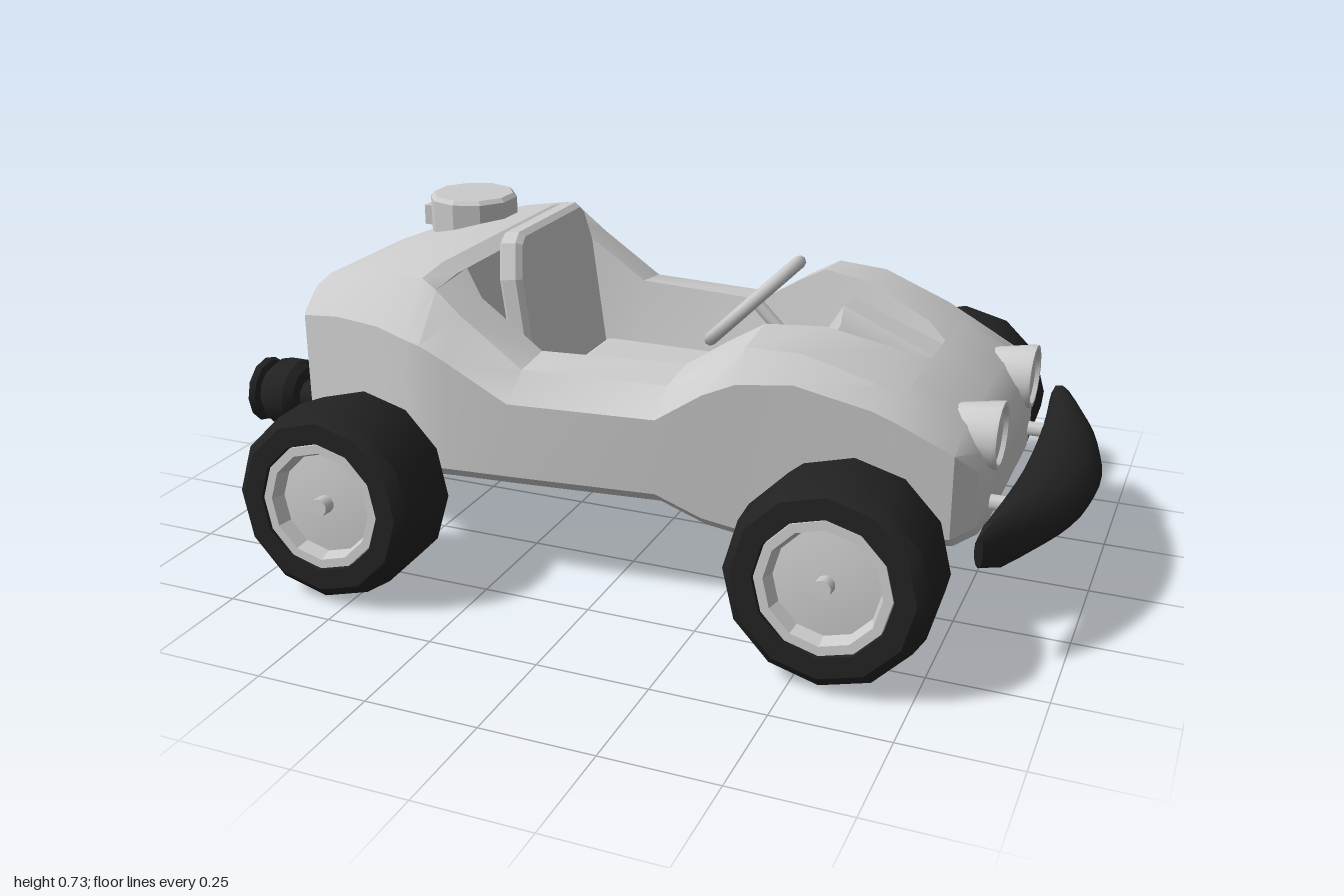
import * as THREE from 'three';
import { toCreasedNormals } from 'three/addons/utils/BufferGeometryUtils.js';
import { RoundedBoxGeometry } from 'three/addons/geometries/RoundedBoxGeometry.js';

const grey = new THREE.MeshStandardMaterial({ color: 0xcccccc, side: THREE.DoubleSide });
const black = new THREE.MeshStandardMaterial({ color: 0x222222 });

function add(parent, name, geometry, material = grey, x = 0, y = 0, z = 0) {
  const mesh = new THREE.Mesh(geometry, material);
  mesh.name = name;
  mesh.position.set(x, y, z);
  parent.add(mesh);
  return mesh;
}

// Skins a row of closed rings of [x, y, z] points and closes both ends
function loft(rings, crease = 0.5) {
  const centre = (ring) => {
    const c = [0, 1, 2].map((k) => ring.reduce((s, p) => s + p[k], 0) / ring.length);
    return ring.map(() => c);
  };
  const all = [centre(rings[0]), ...rings, centre(rings[rings.length - 1])];
  const out = [];
  const tri = (...pts) => {
    const [a, b, c] = pts.map((p) => new THREE.Vector3(...p));
    if (b.sub(a).cross(c.sub(a)).length() > 1e-7) pts.forEach((p) => out.push(...p));
  };
  for (let j = 0; j < all.length - 1; j++) {
    const r = all[j], s = all[j + 1], n = r.length;
    for (let i = 0; i < n; i++) {
      const k = (i + 1) % n;
      tri(r[i], s[i], s[k]);
      tri(r[i], s[k], r[k]);
    }
  }
  const g = new THREE.BufferGeometry();
  g.setAttribute('position', new THREE.Float32BufferAttribute(out, 3));
  return toCreasedNormals(g, crease);
}

function lathe(points, sides, crease = 0.6) {
  const pts = points.map(([r, y]) => new THREE.Vector2(r, y));
  return toCreasedNormals(new THREE.LatheGeometry(pts, sides), crease);
}

// Shell section: underside, flank, shoulder, deck, cockpit wall and floor
function bodyRing([x, yb, yc, yt, w, wt, wo]) {
  const floor = wo > 0 ? 0.285 : yt;
  const half = [
    [x, yb, 0], [x, yb, w - 0.035], [x, yb + 0.03, w], [x, yc, w], [x, yt - 0.012, wt],
    [x, yt, Math.max(wo, wt * 0.75 * (wo > 0 ? 0 : 1))], [x, yt, wo],
    [x, floor, Math.max(0, wo - 0.035)], [x, floor, 0],
  ];
  return [...half, ...half.slice().reverse().map(([a, b, c]) => [a, b, -c])];
}

function makeBody() {
  // x, bottom, crease, top, half width, shoulder, opening
  const sections = [
    [-0.875, 0.27, 0.50, 0.55, 0.22, 0.18, 0],
    [-0.83, 0.24, 0.52, 0.59, 0.285, 0.22, 0],
    [-0.7, 0.225, 0.55, 0.64, 0.345, 0.275, 0],
    [-0.55, 0.225, 0.565, 0.68, 0.41, 0.335, 0],
    [-0.45, 0.235, 0.56, 0.69, 0.455, 0.37, 0],
    [-0.41, 0.24, 0.555, 0.67, 0.465, 0.38, 0],
    [-0.41, 0.24, 0.555, 0.67, 0.465, 0.38, 0.24],
    [-0.35, 0.245, 0.53, 0.62, 0.468, 0.385, 0.285],
    [-0.2, 0.25, 0.45, 0.515, 0.465, 0.39, 0.29],
    [0.13, 0.25, 0.45, 0.515, 0.43, 0.36, 0.25],
    [0.23, 0.205, 0.515, 0.58, 0.415, 0.35, 0.235],
    [0.3, 0.19, 0.545, 0.62, 0.405, 0.345, 0.22],
    [0.42, 0.18, 0.555, 0.615, 0.39, 0.33, 0.175],
    [0.58, 0.2, 0.515, 0.56, 0.37, 0.305, 0.11],
    [0.63, 0.205, 0.495, 0.535, 0.365, 0.295, 0.06],
    [0.63, 0.205, 0.495, 0.535, 0.365, 0.295, 0],
    [0.75, 0.22, 0.435, 0.47, 0.35, 0.27, 0],
    [0.79, 0.23, 0.385, 0.42, 0.295, 0.24, 0],
    [0.805, 0.25, 0.35, 0.38, 0.24, 0.2, 0],
  ];
  return loft(sections.map(bodyRing));
}

// Wheel with its outer face towards +z
function makeWheel() {
  const wheel = new THREE.Group();
  const tyre = add(wheel, 'tyre', lathe([
    [0.001, -0.1], [0.14, -0.105], [0.19, -0.105], [0.212, -0.085], [0.22, 0],
    [0.212, 0.085], [0.19, 0.105], [0.145, 0.105], [0.14, 0.06],
  ], 12), black);
  const rim = add(wheel, 'rim', lathe([
    [0.142, 0.05], [0.142, 0.1], [0.122, 0.1], [0.112, 0.068], [0.05, 0.075], [0.001, 0.075],
  ], 12, 0.4));
  const hub = add(wheel, 'hubBolt', new THREE.CylinderGeometry(0.02, 0.02, 0.04, 10), grey, 0, 0, 0.085);
  for (const m of [tyre, rim, hub]) m.rotation.x = Math.PI / 2;
  wheel.rotation.x = -0.08;
  return wheel;
}

function makeSteering() {
  const steering = new THREE.Group();
  steering.name = 'steeringWheel';
  const ring = add(steering, 'steeringRing', new THREE.TorusGeometry(0.135, 0.015, 8, 24));
  ring.rotation.x = Math.PI / 2;
  for (let i = 0; i < 2; i++) {
    const spoke = add(steering, 'spoke', new THREE.BoxGeometry(0.26, 0.012, 0.022));
    spoke.rotation.y = (i * Math.PI) / 2;
  }
  add(steering, 'steeringHub', new THREE.CylinderGeometry(0.03, 0.035, 0.03, 12));
  add(steering, 'steeringColumn', new THREE.CylinderGeometry(0.015, 0.015, 0.28, 8), grey, 0, -0.14, 0);
  steering.position.set(0.2, 0.595, 0);
  steering.rotation.z = Math.PI / 4;
  return steering;
}

function makeSeat() {
  const seat = new THREE.Group();
  seat.name = 'seat';
  add(seat, 'cushion', new RoundedBoxGeometry(0.31, 0.11, 0.4, 2, 0.025), grey, -0.11, 0.335, 0);
  // Backrest outline with clipped top corners, leaning back
  const s = new THREE.Shape([
    [-0.2, 0], [0.2, 0], [0.2, 0.33], [0.175, 0.41], [0.15, 0.43],
    [-0.15, 0.43], [-0.175, 0.41], [-0.2, 0.33],
  ].map(([x, y]) => new THREE.Vector2(x, y)));
  const geo = new THREE.ExtrudeGeometry(s, {
    depth: 0.035, bevelSize: 0.012, bevelThickness: 0.012, bevelOffset: -0.012, bevelSegments: 1,
  });
  geo.rotateY(Math.PI / 2);
  const back = add(seat, 'backrest', geo, grey, -0.3, 0.31, 0);
  back.rotation.z = 0.13;
  return seat;
}

// Swept bumper that narrows towards its tips
function makeBumper() {
  const rings = [];
  for (let j = 0; j <= 16; j++) {
    const t = -1 + j / 8;
    const end = Math.abs(t) > 0.99 ? 0.6 : 1;
    const front = 1 - 0.155 * t * t, rear = 0.845 - 0.03 * t * t;
    const ring = [];
    for (let i = 0; i < 12; i++) {
      const a = (i / 12) * Math.PI * 2;
      const dx = (Math.cos(a) * (front - rear)) / 2;
      ring.push([(front + rear) / 2 + dx * end, 0.285 - Math.sin(a) * 0.055 * end - dx * 0.25, t * 0.455]);
    }
    rings.push(ring);
  }
  return loft(rings, 0.9);
}

export function createModel() {
  const car = new THREE.Group();
  car.name = 'buggy';
  add(car, 'body', makeBody());
  add(car, 'rearPanel', new THREE.BoxGeometry(0.02, 0.17, 0.34), grey, -0.872, 0.405, 0);
  add(car, 'bumper', makeBumper(), black);
  car.add(makeSeat(), makeSteering());

  // Ridged cowl around the steering column
  const cowl = [[0.31, 0.42, 0.09, 0.065], [0.36, 0.52, 0.085, 0.05], [0.42, 0.62, 0.08, 0.035], [0.63, 0.53, 0.07, 0.045]];
  add(car, 'columnCowl', loft(cowl.map(([x, y, w, t]) => [
    [x, 0.28, -w], [x, 0.28, w], [x, y - 0.04, (w + t) / 2], [x, y, t],
    [x, y, -t], [x, y - 0.04, -(w + t) / 2],
  ])));

  // Filler cap with its latch
  add(car, 'fillerCap', lathe([[0.09, -0.06], [0.11, -0.05], [0.11, 0.05], [0.1, 0.06], [0.001, 0.06]], 10, 0.4), grey, -0.615, 0.675, -0.17);
  add(car, 'capLatch', new THREE.BoxGeometry(0.04, 0.05, 0.05), grey, -0.725, 0.67, -0.17);

  // Wheels, axles and paired fittings
  for (const [x, z, label] of [[-0.55, 0.58, 'rear'], [0.565, 0.53, 'front']]) {
    const axle = add(car, label + 'Axle', new THREE.CylinderGeometry(0.028, 0.028, z * 2 - 0.1, 10), grey, x, 0.24, 0);
    axle.rotation.x = Math.PI / 2;
    for (const side of [1, -1]) {
      const holder = new THREE.Group();
      holder.name = label + 'Wheel';
      holder.add(makeWheel());
      holder.position.set(x, 0.23, side * z);
      holder.rotation.y = side > 0 ? 0 : Math.PI;
      car.add(holder);
    }
  }
  for (const side of [1, -1]) {
    const lamp = add(car, 'headlight', lathe([
      [0.001, -0.08], [0.035, -0.075], [0.058, -0.04], [0.073, 0.045], [0.073, 0.055], [0.064, 0.055], [0.06, 0.045], [0.001, 0.052],
    ], 16), grey, 0.76, 0.43, side * 0.19);
    lamp.rotation.z = -Math.PI / 2;
    const mount = add(car, 'bumperMount', new THREE.CylinderGeometry(0.018, 0.018, 0.12, 8), grey, 0.815, 0.29, side * 0.22);
    mount.rotation.z = Math.PI / 2;
    const exhaust = add(car, 'exhaust', lathe([
      [0.04, -0.2], [0.04, -0.13], [0.07, -0.13], [0.085, -0.11], [0.085, -0.06], [0.07, -0.04], [0.06, -0.04],
      [0.06, -0.03], [0.075, -0.025], [0.08, -0.01], [0.065, 0], [0.05, 0], [0.045, -0.03], [0.001, -0.03],
    ], 12), black, -1, 0.295, side * 0.24);
    exhaust.rotation.z = Math.PI / 2;
    add(car, 'pedal', new THREE.BoxGeometry(0.11, 0.05, 0.09), black, 0.305, 0.34, side * 0.145);
  }
  return car;
}
